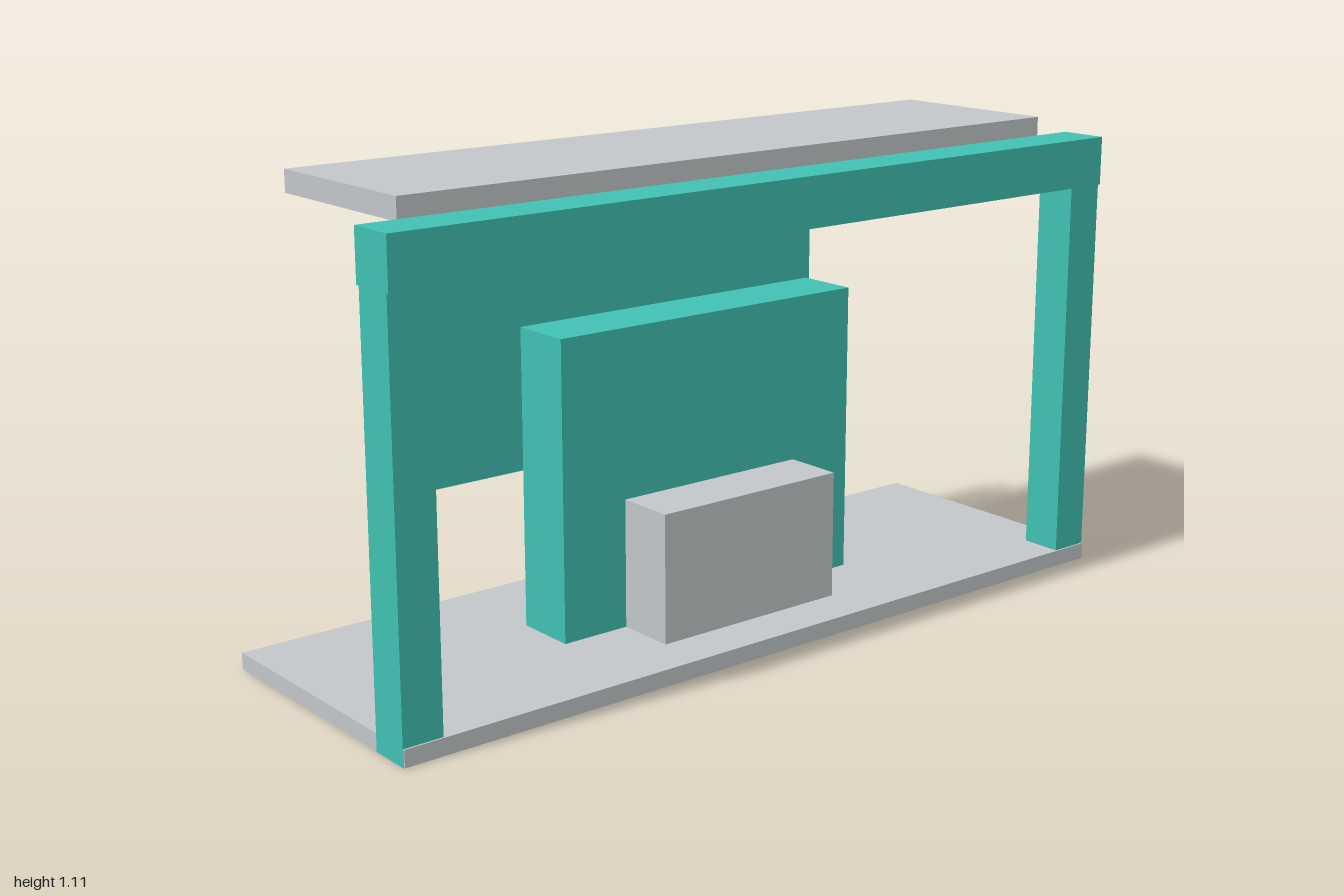
import * as THREE from 'three';

const material = (name, color) => {
  const m = new THREE.MeshStandardMaterial({ color });
  m.name = name;
  return m;
};

export function createModel() {
  const teal = material('teal', 0x40c0b2);
  const grey = material('light grey', 0xc2c6c9);
  const slate = material('slate blue', 0x4d6b80);
  const model = new THREE.Group();
  model.name = 'displayStand';

  // Box given by its extents along each axis
  const slab = (name, mat, [x0, x1], [y0, y1], [z0, z1]) => {
    const geometry = new THREE.BoxGeometry(x1 - x0, y1 - y0, z1 - z0);
    const mesh = new THREE.Mesh(geometry, mat);
    mesh.position.set((x0 + x1) / 2, (y0 + y1) / 2, (z0 + z1) / 2);
    mesh.name = name;
    model.add(mesh);
  };

  // Floor, a hair inside the feet so they show on its underside and ends
  slab('floor', grey, [-0.999, 0.999], [0.001, 0.04], [-0.333, 0.333]);

  // Front gateway: two posts and a slightly thicker beam
  slab('leftPost', teal, [0.905, 1], [0, 0.953], [0.229, 0.329]);
  slab('rightPost', teal, [-1, -0.905], [0, 0.953], [0.229, 0.329]);
  slab('frontBeam', teal, [-1, 1], [0.953, 1.068], [0.22, 0.335]);

  // Floating canopy behind the beam
  slab('canopy', grey, [-0.903, 0.903], [1.062, 1.112], [-0.218, 0.215]);

  // Central wall with a counter before it
  slab('centralWall', teal, [-0.42, 0.42], [0, 0.733], [-0.077, 0.073]);
  slab('counter', grey, [-0.25, 0.25], [0.04, 0.341], [0.073, 0.215]);

  // Rear display: backing panel and screen
  slab('screenPanel', teal, [-0.565, 0.565], [0.352, 0.882], [-0.257, -0.225]);
  slab('screen', slate, [-0.545, 0.545], [0.38, 0.855], [-0.277, -0.257]);

  return model;
}
